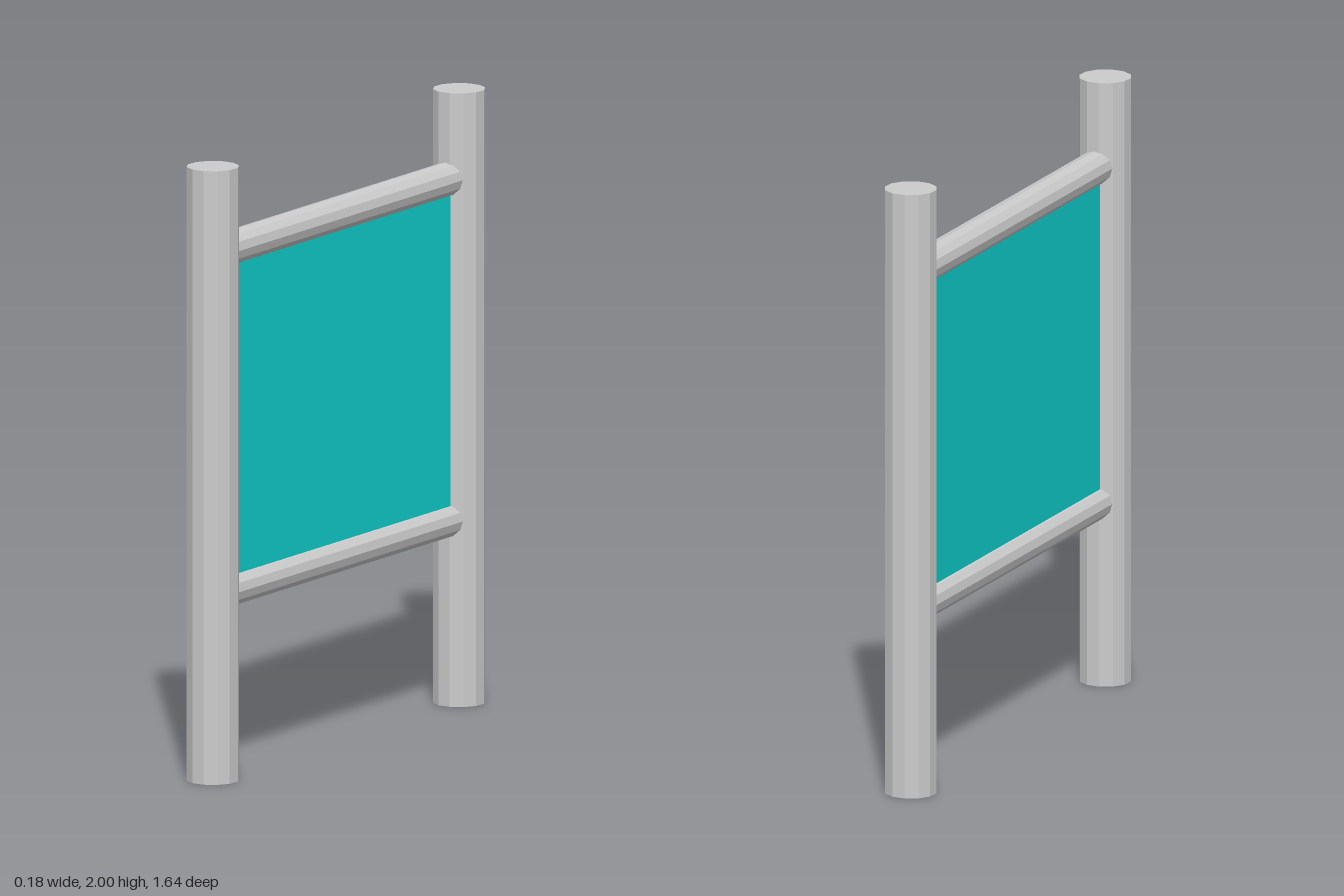
import * as THREE from 'three';

export function createModel() {
  const model = new THREE.Group();
  model.name = 'postPanel';
  // everything sits on a line turned very slightly from the z axis
  const frame = new THREE.Group();
  frame.name = 'frame';
  frame.rotation.y = 0.008;
  model.add(frame);

  const grey = new THREE.MeshStandardMaterial({ color: 0xcccccc, flatShading: true });
  const cyan = new THREE.MeshStandardMaterial({ color: 0x10d0d0 });
  const postZ = 0.735;

  const add = (name, geometry, material, y, z = 0) => {
    const mesh = new THREE.Mesh(geometry, material);
    mesh.name = name;
    mesh.position.set(0, y, z);
    frame.add(mesh);
    return mesh;
  };

  // upright posts
  const postGeometry = new THREE.CylinderGeometry(0.085, 0.085, 2, 12).rotateY(0.2);
  add('frontPost', postGeometry, grey, 1, postZ);
  add('backPost', postGeometry, grey, 1, -postZ);

  // horizontal rails running into the posts
  const railGeometry = new THREE.CylinderGeometry(0.055, 0.055, 2 * postZ, 12).rotateX(Math.PI / 2);
  add('upperRail', railGeometry, grey, 1.717);
  add('lowerRail', railGeometry, grey, 0.605);

  // panel tucked into rails and posts
  add('panel', new THREE.BoxGeometry(0.04, 1.11, 1.4), cyan, 1.161);

  return model;
}
